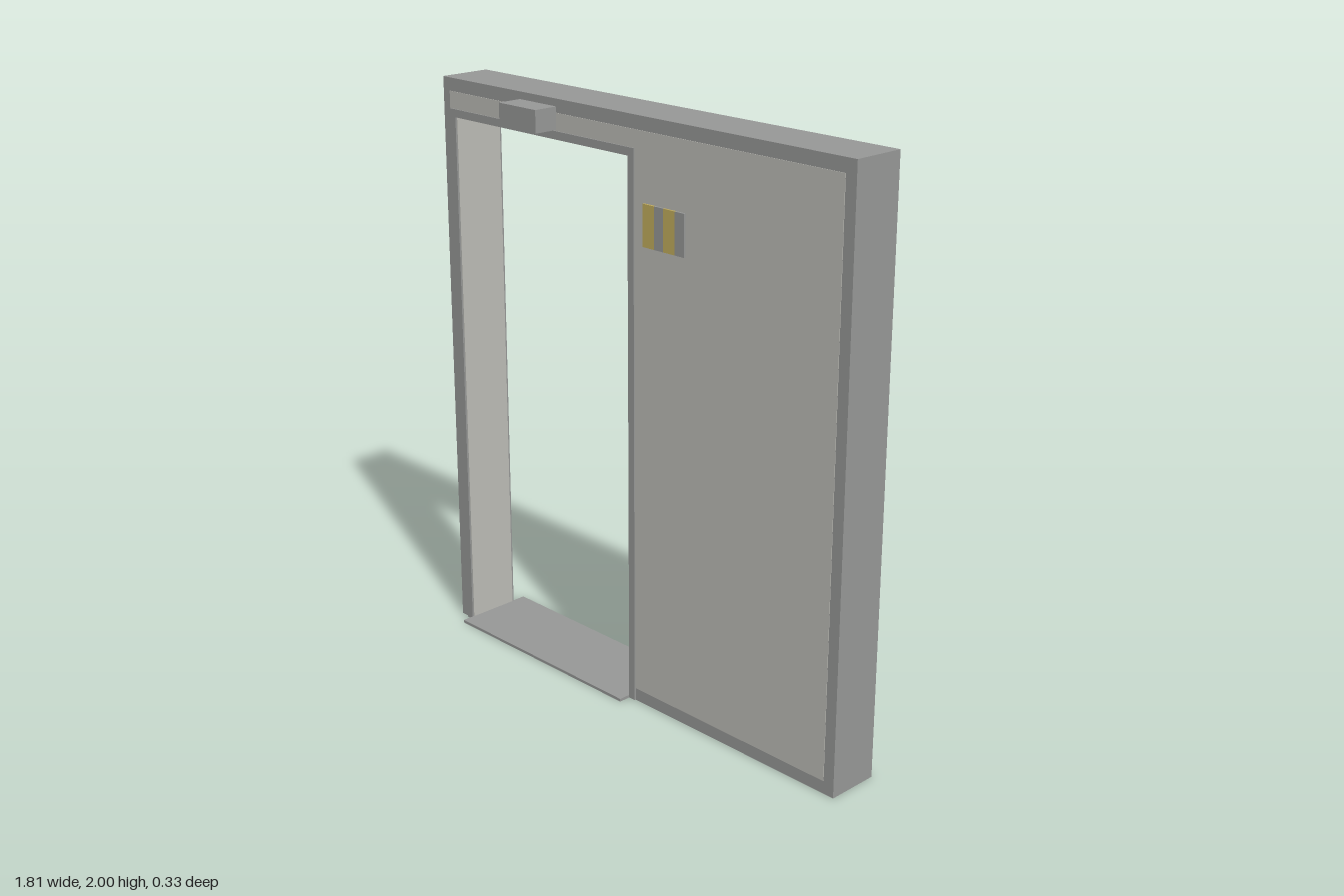
import * as THREE from 'three';

const mat = (name, color) => {
  const m = new THREE.MeshStandardMaterial({ color });
  m.name = name;
  return m;
};

export function createModel() {
  const group = new THREE.Group();
  const frameGrey = mat('frame grey', 0x979897);
  const panelGrey = mat('warm panel grey', 0xbcbcb6);
  const signYellow = mat('sign yellow', 0xc2ad5e);

  const add = (name, geometry, material) => {
    const mesh = new THREE.Mesh(geometry, material);
    mesh.name = name;
    group.add(mesh);
  };
  // Box given by its limits on each axis
  const box = (name, material, [x0, x1], [y0, y1], [z0, z1]) => {
    const g = new THREE.BoxGeometry(x1 - x0, y1 - y0, z1 - z0);
    g.translate((x0 + x1) / 2, (y0 + y1) / 2, (z0 + z1) / 2);
    add(name, g, material);
  };
  // Outline in x and y extruded between two depths
  const slab = (name, material, points, z0, z1) => {
    const shape = new THREE.Shape(points.map(([x, y]) => new THREE.Vector2(x, y)));
    const g = new THREE.ExtrudeGeometry(shape, { depth: z1 - z0, bevelEnabled: false });
    g.translate(0, 0, z0);
    add(name, g, material);
  };
  // Outer rectangle with a doorway cut up from its lower edge
  const doorway = (l, r, b, t, dl, dr, dt) => [
    [l, b], [dl, b], [dl, dt], [dr, dt], [dr, b], [r, b], [r, t], [l, t],
  ];

  const back = -0.11, front = 0.075;
  const left = -0.84, right = 0, top = 1.87, lip = 0.027;

  // Wall body and the paler panels on both faces
  slab('wall', frameGrey, doorway(-0.905, 0.905, 0, 2, left - lip, right + lip, top + lip), back, front);
  const panel = doorway(-0.871, 0.865, 0.045, 1.955, left - lip, right + lip, top + lip);
  slab('frontPanel', panelGrey, panel, front, front + 0.002);
  slab('backPanel', panelGrey, panel, back - 0.002, back);

  // Door surround, standing slightly proud of both faces
  slab('doorSurround', frameGrey,
    doorway(left - lip, right + lip, 0, top + lip, left, right, top), back - 0.007, front + 0.006);

  // Thin lining inside the doorway
  const depth = [back, front];
  box('rightLining', panelGrey, [left, left + 0.002], [0.01, top], depth);
  box('leftLining', panelGrey, [right - 0.002, right], [0.01, top], depth);
  box('topLining', panelGrey, [left, right], [top - 0.002, top], depth);

  // Threshold plate and the sensor housing above the door
  box('threshold', frameGrey, [left, right], [0, 0.01], [-0.165, 0.123]);
  box('sensorHousing', frameGrey, [-0.51, -0.333], [1.9, 1.975], [front, 0.163]);

  // Striped wall sign
  const edges = [0.07, 0.12, 0.16, 0.21, 0.25];
  for (let i = 0; i < 4; i++) {
    box('signStripe' + (i + 1), i % 2 ? frameGrey : signYellow,
      [edges[i], edges[i + 1]], [1.595, 1.732], [front, front + 0.009]);
  }

  return group;
}
